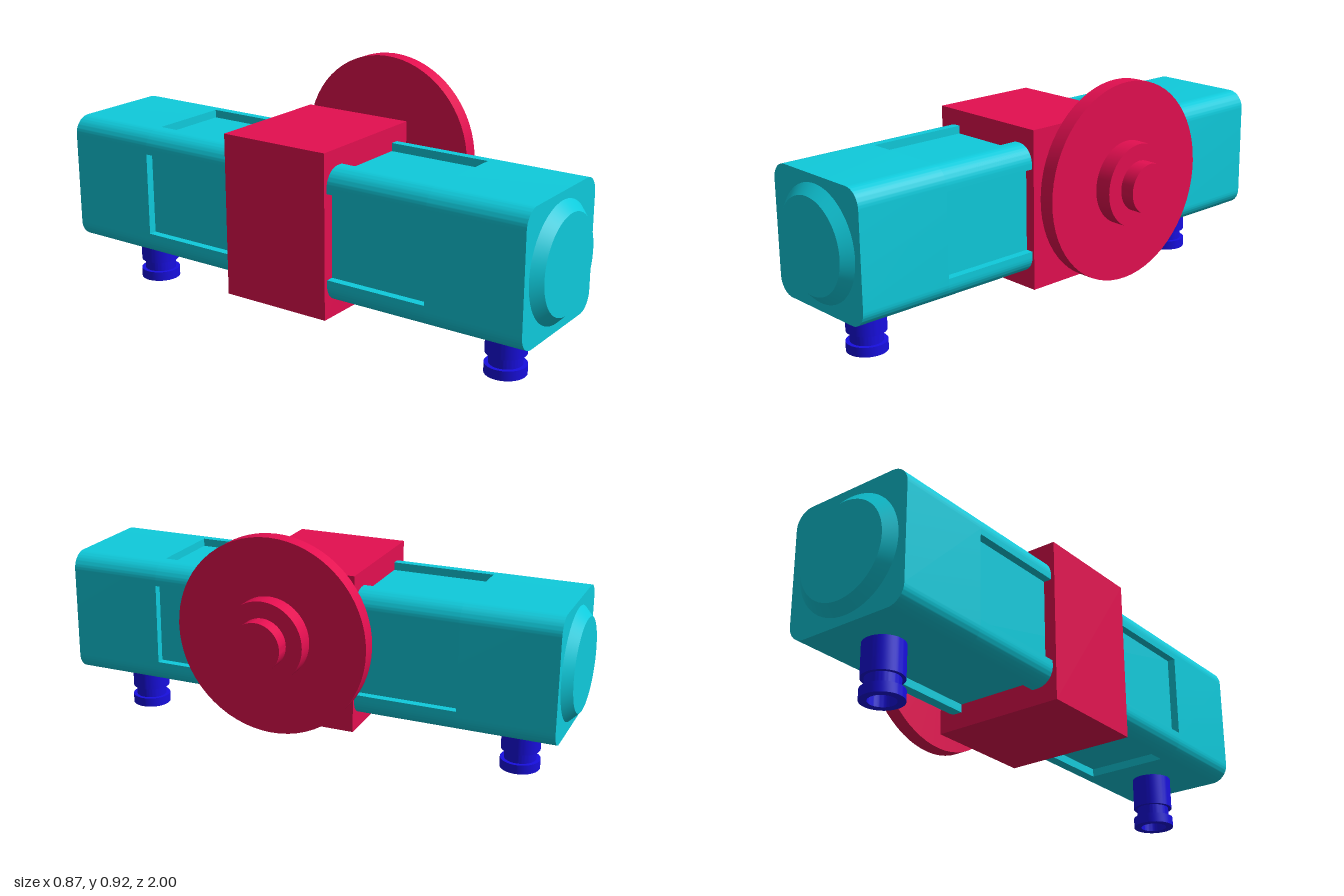
import * as THREE from 'three';
import { toCreasedNormals } from 'three/addons/utils/BufferGeometryUtils.js';

const RED = new THREE.MeshStandardMaterial({ color: 0xe30f50 });
const TEAL = new THREE.MeshStandardMaterial({ color: 0x0fcbdc });
const BLUE = new THREE.MeshStandardMaterial({ color: 0x180fe0 });

const CX = -0.18, CY = 0.435; // axis of the long body
const HALF = 0.241, RADIUS = 0.065, SLOT = 0.155;

function part(name, geometry, material) {
  const mesh = new THREE.Mesh(geometry, material);
  mesh.name = name;
  return mesh;
}

// Turned part with sharp steps; the profile runs upward along y
function turned(profile) {
  const points = profile.map(([r, y]) => new THREE.Vector2(r, y));
  return toCreasedNormals(new THREE.LatheGeometry(points, 64), 0.5);
}

// Rounded square section, with an optional notch in the middle of each side
function section(notch) {
  const shape = new THREE.Shape();
  const straight = HALF - RADIUS;
  for (let i = 0; i < 4; i++) {
    const a = i * Math.PI / 2, c = Math.cos(a), s = Math.sin(a);
    const at = (x, y) => [x * c - y * s, x * s + y * c];
    if (i === 0) shape.moveTo(...at(HALF, -straight));
    if (notch) {
      shape.lineTo(...at(HALF, -SLOT));
      shape.lineTo(...at(HALF - notch, -SLOT));
      shape.lineTo(...at(HALF - notch, SLOT));
      shape.lineTo(...at(HALF, SLOT));
    }
    shape.lineTo(...at(HALF, straight));
    shape.absarc(...at(straight, straight), RADIUS, a, a + Math.PI / 2, false);
  }
  return shape;
}

function bodyPiece(name, notch, z0, z1) {
  const geometry = new THREE.ExtrudeGeometry(section(notch), {
    depth: z1 - z0, bevelEnabled: false, curveSegments: 10,
  });
  const mesh = part(name, toCreasedNormals(geometry, 0.5), TEAL);
  mesh.position.set(CX, CY, z0);
  return mesh;
}

export function createModel() {
  const model = new THREE.Group();
  model.name = 'actuator';

  // Long body: recessed panels near the middle, plain ends
  model.add(bodyPiece('recessedBody', 0.03, -0.605, 0.605));
  model.add(bodyPiece('frontBodyEnd', 0, 0.605, 0.965));
  model.add(bodyPiece('backBodyEnd', 0, -0.965, -0.605));

  // Central gear block
  const block = part('centralBlock', new THREE.BoxGeometry(0.505, 0.6, 0.43), RED);
  block.position.set(-0.1825, 0.435, 0);
  model.add(block);

  // Stepped shaft with flange, wheel and hub
  const shaft = part('shaftAndWheel', turned([
    [0, 0.06], [0.15, 0.06], [0.15, 0.132], [0.09, 0.132], [0.09, 0.26],
    [0.36, 0.26], [0.36, 0.317], [0.15, 0.317], [0.15, 0.379],
    [0.09, 0.379], [0.09, 0.433], [0, 0.433],
  ]), RED);
  shaft.rotation.z = -Math.PI / 2;
  shaft.position.y = 0.555;
  model.add(shaft);

  // Bevelled end caps and hollow feet, mirrored front to back
  const capGeometry = turned([[0, -0.01], [0.211, -0.01], [0.211, 0], [0.175, 0.035], [0, 0.035]]);
  const footGeometry = turned([
    [0, 0.075], [0.048, 0.075], [0.048, 0], [0.075, 0], [0.075, 0.036], [0.06, 0.036],
    [0.06, 0.075], [0.073, 0.075], [0.073, 0.2], [0, 0.2],
  ]);
  for (const side of [1, -1]) {
    const end = side > 0 ? 'front' : 'back';
    const cap = part(end + 'EndCap', capGeometry, TEAL);
    cap.rotation.x = side * Math.PI / 2;
    cap.position.set(CX, CY, side * 0.965);
    const foot = part(end + 'Foot', footGeometry, BLUE);
    foot.position.set(CX, 0, side * 0.785);
    model.add(cap, foot);
  }
  return model;
}
